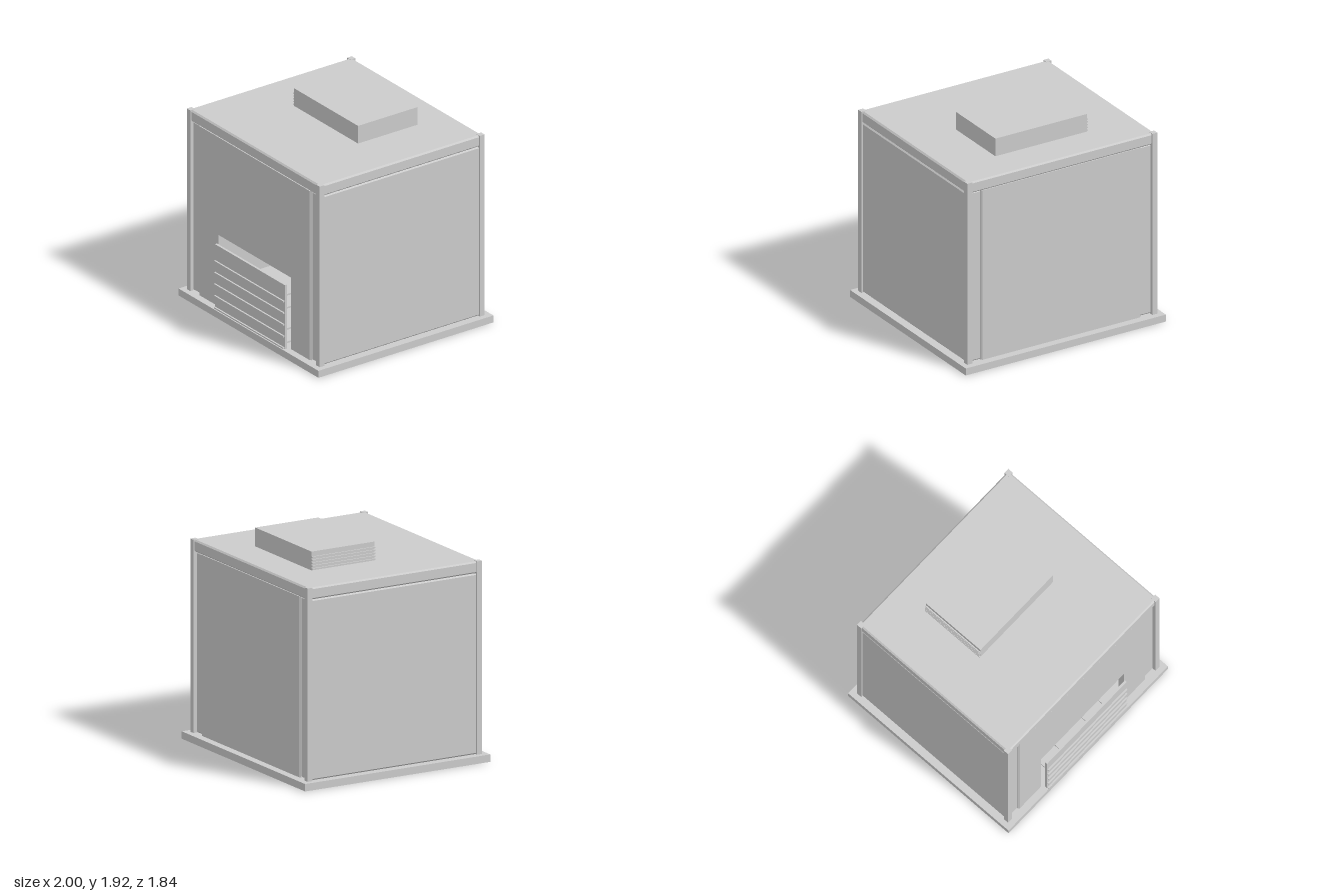
import * as THREE from 'three';

const FLOOR = 0.065, TOP = 1.755, SEAM = 1.65, C = 0.013; // levels and chamfer size
const HX = 0.95, HZ = 0.865, POST = 0.05;                  // outer half sizes, post width

export function createModel() {
  const root = new THREE.Group();
  const mat = new THREE.MeshStandardMaterial({ color: 0xcccccc, flatShading: true });

  const add = (name, geo, parent = root) => {
    const m = new THREE.Mesh(geo, mat);
    m.name = name;
    parent.add(m);
    return m;
  };
  // box given by its limits
  const box = (name, x0, x1, y0, y1, z0, z1, parent = root) => {
    const m = add(name, new THREE.BoxGeometry(x1 - x0, y1 - y0, z1 - z0), parent);
    m.position.set((x0 + x1) / 2, (y0 + y1) / 2, (z0 + z1) / 2);
    return m;
  };
  // plank facing +z, from x0 to x1, with chamfered upper and lower outer edges
  const plank = (name, parent, x0, x1, y0, y1, back, front) => {
    const s = new THREE.Shape([
      [back, y0], [front - C, y0], [front, y0 + C],
      [front, y1 - C], [front - C, y1], [back, y1],
    ].map(p => new THREE.Vector2(...p)));
    const geo = new THREE.ExtrudeGeometry(s, { depth: x1 - x0, bevelEnabled: false });
    geo.rotateY(-Math.PI / 2); // profile now points to +z, length to -x
    geo.translate(x1, 0, 0);
    return add(name, geo, parent);
  };
  // upright board with one chamfered vertical edge at x = side * 0.8
  const jamb = (parent, side, inner, back, front) => {
    const pts = [[inner, back], [0.8, back], [0.8, front - C], [0.8 - C, front], [inner, front]]
      .map(([x, z]) => new THREE.Vector2(side * x, -z));
    const geo = new THREE.ExtrudeGeometry(new THREE.Shape(pts), { depth: SEAM - FLOOR, bevelEnabled: false });
    geo.rotateX(-Math.PI / 2);
    geo.translate(0, FLOOR, 0);
    add('wallJamb', geo, parent);
  };

  // foundation, roof and corner posts
  box('baseSlab', -1, 1, 0, FLOOR, -0.92, 0.915);
  box('roof', -HX + POST, HX - POST, 1.68, TOP, -HZ + POST, HZ - POST);
  for (const sx of [-1, 1]) for (const sz of [-1, 1]) {
    const p = box('cornerPost', -POST / 2, POST / 2, FLOOR, TOP + 0.003, -POST / 2, POST / 2);
    p.position.x = sx * (HX - POST / 2);
    p.position.z = sz * (HZ - POST / 2);
  }

  // side walls: a beam over one full panel
  for (const side of [-1, 1]) {
    const wall = new THREE.Group();
    wall.name = side > 0 ? 'leftWall' : 'rightWall';
    wall.rotation.y = side * Math.PI / 2;
    const l = HZ - POST;
    plank('roofBeam', wall, -l, l, SEAM, TOP, HX - POST, 0.938);
    plank('sidePanel', wall, -l, l, FLOOR, SEAM, HX - POST, 0.935);
    root.add(wall);
  }

  // front and back walls: beam, two recessed strips, raised centre panel
  for (const isFront of [true, false]) {
    const wall = new THREE.Group();
    wall.name = isFront ? 'frontWall' : 'backWall';
    if (!isFront) wall.rotation.y = Math.PI;
    const l = HX - POST, back = HZ - POST, face = 0.85;
    plank('roofBeam', wall, -l, l, SEAM, TOP, back, face + 0.003);
    plank('recessedStrip', wall, -l, -0.8, FLOOR, SEAM, 0.79, 0.832);
    plank('recessedStrip', wall, 0.8, l, FLOOR, SEAM, 0.79, 0.832);
    for (const side of [-1, 1]) jamb(wall, side, 0.52, 0.79, face);
    box('centrePanel', -0.52, 0.52, isFront ? 0.735 : FLOOR, SEAM, 0.79, face, wall);
    root.add(wall);
  }

  // ribbed hatch standing in front of the doorway
  const hatch = new THREE.Group();
  hatch.name = 'hatch';
  box('hatchBoard', -0.5, 0.5, 0.07, 0.67, 0.878, 0.9, hatch);
  for (let i = 0; i < 5; i++) {
    const y = 0.08 + i * 0.109;
    box('hatchRib', -0.495, 0.495, y - 0.006, y + 0.006, 0.9, 0.915, hatch);
  }
  root.add(hatch);

  // floor rails running out through the doorway
  for (const x of [-0.36, -0.155, 0.18, 0.39]) {
    box('floorRail', x - 0.015, x + 0.015, FLOOR, 0.08, -0.7, 0.88);
  }

  // rooftop unit with louvres on one end
  const unit = new THREE.Group();
  unit.name = 'rooftopUnit';
  box('unitBody', -0.458, 0.455, TOP - 0.005, 1.92, -0.525, 0.1, unit);
  for (let i = 0; i < 5; i++) {
    const y = 1.767 + i * 0.026;
    box('louvre', -0.47, -0.458, y - 0.006, y + 0.006, -0.525, 0.1, unit);
  }
  root.add(unit);

  return root;
}
